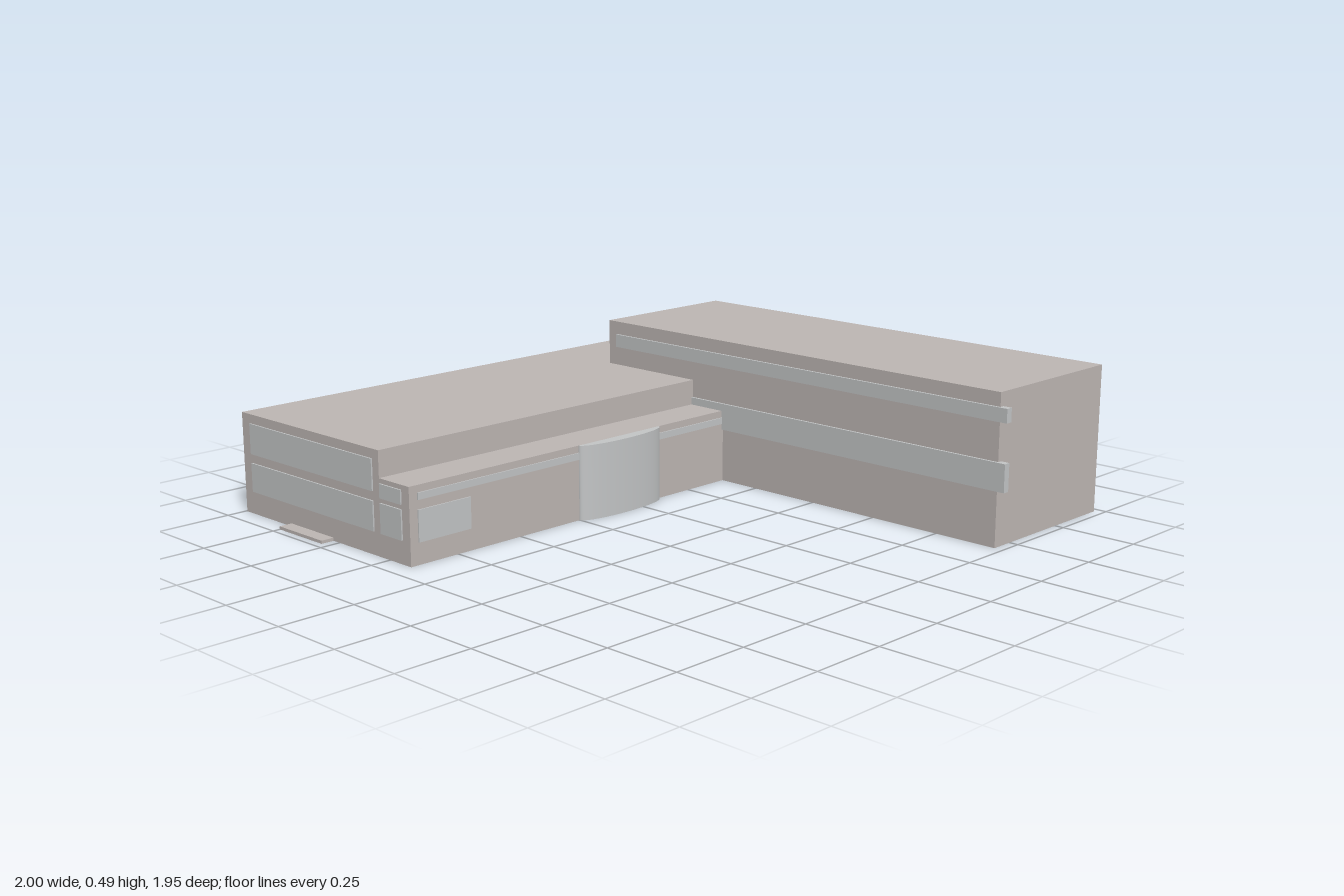
import * as THREE from 'three';

export function createModel() {
  const model = new THREE.Group();
  const wall = new THREE.MeshStandardMaterial({ color: 0xbdb6b3 });
  wall.name = 'warm grey wall';
  const glass = new THREE.MeshStandardMaterial({ color: 0xc3c5c6 });
  glass.name = 'pale grey glass';

  // Box given by its limits on each axis
  function block(name, material, [x0, x1], [y0, y1], [z0, z1]) {
    const mesh = new THREE.Mesh(new THREE.BoxGeometry(x1 - x0, y1 - y0, z1 - z0), material);
    mesh.position.set((x0 + x1) / 2, (y0 + y1) / 2, (z0 + z1) / 2);
    mesh.name = name;
    model.add(mesh);
    return mesh;
  }

  // Rear wing: tall hall and its lower end
  block('rearHall', wall, [-0.7, 0.97], [0, 0.485], [-0.975, -0.42]);
  block('rearLowEnd', wall, [-0.995, -0.7], [0, 0.33], [-0.975, -0.42]);

  // Front wing: upper floor overhanging a recessed ground floor, plus a low aisle
  block('frontUpperFloor', wall, [-0.995, -0.29], [0.18, 0.33], [-0.42, 0.93]);
  block('frontGroundFloor', wall, [-0.95, -0.29], [0, 0.18], [-0.42, 0.93]);
  block('recessEnd', wall, [-0.995, -0.95], [0, 0.18], [-0.42, -0.37]);
  block('sideAisle', wall, [-0.29, -0.15], [0, 0.245], [-0.42, 0.93]);

  // Columns along the recess
  for (const z of [-0.13, 0.155, 0.61, 0.89]) {
    block('column', wall, [-0.995, -0.95], [0, 0.18], [z, z + 0.04]);
  }

  // Curved glass bay on the aisle
  const bay = new THREE.Mesh(
    new THREE.CylinderGeometry(1, 1, 1, 40, 1, false, 0, Math.PI), glass);
  bay.scale.set(0.04, 0.245, 0.18);
  bay.position.set(-0.15, 0.1225, 0.072);
  bay.name = 'curvedBay';
  model.add(bay);

  // Projecting window bands of the rear hall, running past its corner
  block('upperWindowBand', glass, [-0.66, 1], [0.395, 0.44], [-0.435, -0.412]);
  block('lowerWindowBand', glass, [-0.29, 1], [0.18, 0.27], [-0.435, -0.412]);
  block('hallEndWindow', glass, [-0.71, -0.7], [0.35, 0.44], [-0.97, -0.47]);

  // Front windows
  for (const [x, y] of [
    [[-0.95, -0.32], [0.2, 0.3]],
    [[-0.95, -0.32], [0.075, 0.17]],
    [[-0.285, -0.185], [0.185, 0.23]],
    [[-0.285, -0.185], [0.075, 0.17]],
  ]) block('frontWindow', glass, x, y, [0.93, 0.935]);

  // Aisle windows, either side of the bay
  for (const [y, z] of [
    [[0.2, 0.222], [0.252, 0.9]],
    [[0.2, 0.222], [-0.412, -0.108]],
    [[0.07, 0.17], [0.7, 0.9]],
  ]) block('aisleWindow', glass, [-0.15, -0.146], y, z);

  // Windows along the recessed side and the rear wing's end
  block('sideWindowBand', glass, [-1, -0.995], [0.21, 0.3], [-0.37, 0.89]);
  block('recessWindowBand', glass, [-0.955, -0.95], [0.08, 0.17], [-0.37, 0.89]);
  block('rearEndWindow', glass, [-1, -0.995], [0.08, 0.175], [-0.97, -0.42]);

  // Entrance step
  block('entranceStep', wall, [-0.75, -0.53], [0, 0.01], [0.93, 0.975]);

  return model;
}
